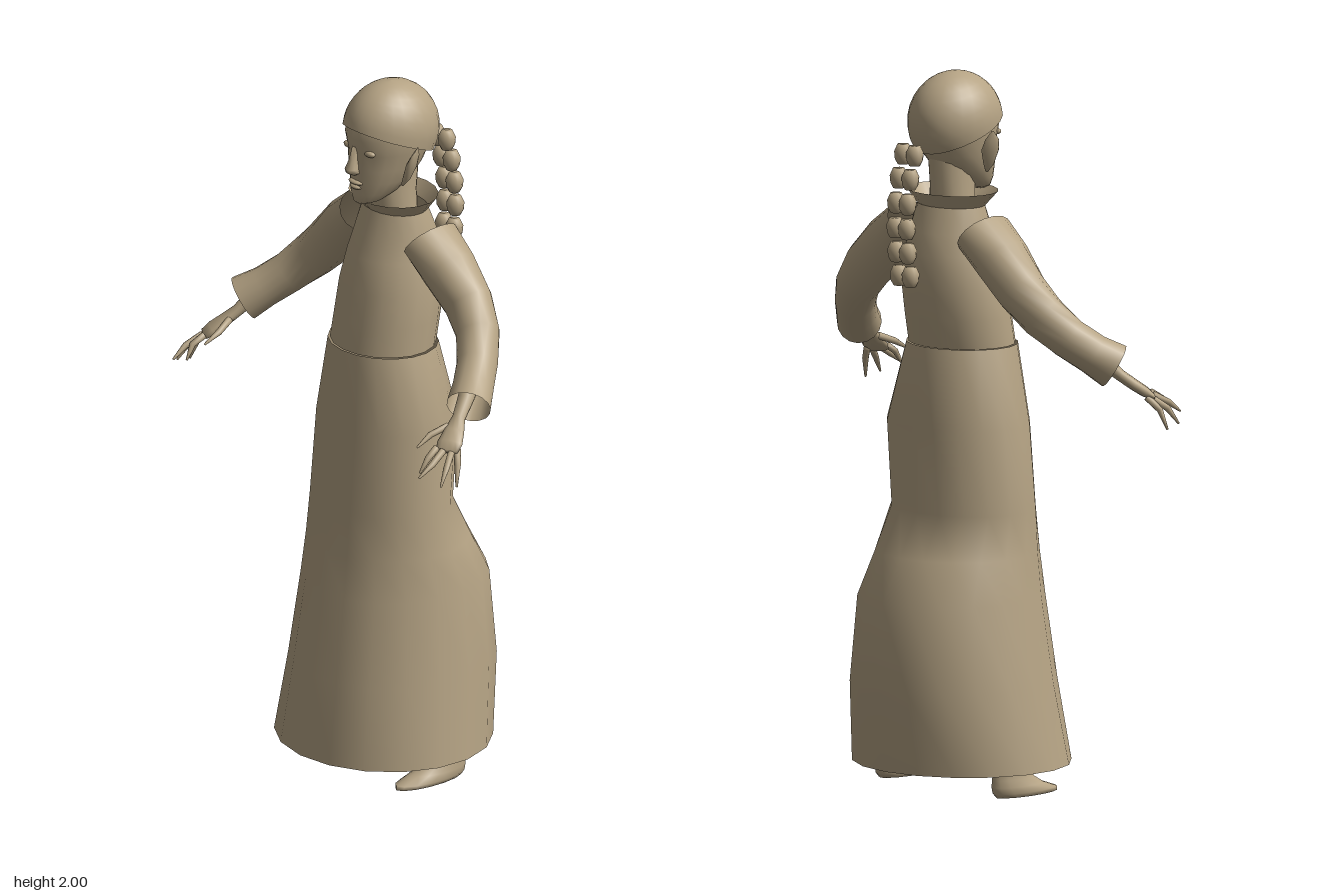
import * as THREE from 'three';

const clay = new THREE.MeshStandardMaterial({ color: 0xb5a384, side: THREE.DoubleSide });
clay.name = 'tan clay';

// Skin a list of equal-length vertex rings, optionally closing the ends
function loft(rings, capped = false) {
  const n = rings[0].length, pos = [], idx = [];
  rings.forEach(r => r.forEach(p => pos.push(p.x, p.y, p.z)));
  for (let k = 0; k < rings.length - 1; k++) {
    for (let i = 0; i < n; i++) {
      const a = k * n + i, b = k * n + (i + 1) % n;
      idx.push(a, b, a + n, b, b + n, a + n);
    }
  }
  if (capped) {
    const last = (rings.length - 1) * n;
    for (let i = 1; i < n - 1; i++) {
      idx.push(0, i + 1, i, last, last + i, last + i + 1);
    }
  }
  const g = new THREE.BufferGeometry();
  g.setAttribute('position', new THREE.Float32BufferAttribute(pos, 3));
  g.setIndex(idx);
  g.computeVertexNormals();
  return g;
}

// Upright body: rows of [y, half width, front z, back z], listed bottom to top
function upright(rows, n, dx = 0, capped = false) {
  return loft(rows.map(([y, w, zf, zb]) => Array.from({ length: n }, (_, i) => {
    const t = i / n * Math.PI * 2;
    return new THREE.Vector3(dx + w * Math.sin(t), y, (zf + zb) / 2 + (zf - zb) / 2 * Math.cos(t));
  })), capped);
}

// Limb: rows of [x, y, z, horizontal radius, other radius], mirrored by side
function limb(rows, side, n, capped = false) {
  const c = rows.map(r => new THREE.Vector3(r[0] * side, r[1], r[2]));
  return loft(rows.map((r, k) => {
    const t = c[Math.min(k + 1, c.length - 1)].clone().sub(c[Math.max(k - 1, 0)]).normalize();
    const u = t.clone().cross(new THREE.Vector3(0, 1, 0)).normalize();
    const v = t.clone().cross(u);
    return Array.from({ length: n }, (_, i) => {
      const a = i / n * Math.PI * 2;
      return c[k].clone().addScaledVector(u, r[3] * Math.cos(a)).addScaledVector(v, r[4] * Math.sin(a));
    });
  }), capped);
}

export function createModel() {
  const model = new THREE.Group();
  model.name = 'robedFigure';
  const add = (name, geometry, parent = model) => {
    const m = new THREE.Mesh(geometry, clay);
    m.name = name;
    parent.add(m);
    return m;
  };
  const ball = (name, x, y, z, rx, ry, rz) =>
    add(name, new THREE.SphereGeometry(1, 12, 8).scale(rx, ry, rz).translate(x, y, z));

  // Gown
  add('skirt', upright([
    [0.07, 0.315, 0.297, -0.29], [0.3, 0.283, 0.262, -0.318], [0.54, 0.255, 0.226, -0.3],
    [0.66, 0.235, 0.208, -0.235], [0.78, 0.221, 0.192, -0.17], [1.02, 0.217, 0.172, -0.19],
    [1.24, 0.165, 0.15, -0.14],
  ], 18));
  add('bodice', upright([
    [1.24, 0.157, 0.145, -0.135], [1.32, 0.156, 0.13, -0.15], [1.41, 0.152, 0.115, -0.166],
    [1.5, 0.132, 0.095, -0.165], [1.56, 0.122, 0.07, -0.148], [1.63, 0.105, 0.045, -0.118],
  ], 18));
  add('collar', upright([[1.63, 0.105, 0.045, -0.118], [1.67, 0.137, 0.085, -0.147]], 18));

  // Neck and face
  add('neck', upright([[1.58, 0.07, 0.03, -0.1], [1.68, 0.058, 0.035, -0.1], [1.8, 0.06, 0.03, -0.11]], 14));
  add('face', upright([
    [1.662, 0.015, 0.092, 0.055], [1.67, 0.036, 0.102, 0.01], [1.695, 0.058, 0.106, -0.04],
    [1.73, 0.077, 0.104, -0.08], [1.77, 0.09, 0.106, -0.115], [1.815, 0.101, 0.105, -0.135],
    [1.86, 0.11, 0.113, -0.15], [1.91, 0.105, 0.103, -0.145], [1.95, 0.08, 0.07, -0.12],
  ], 20, 0, true));
  add('nose', upright([
    [1.752, 0.008, 0.115, 0.095], [1.76, 0.021, 0.13, 0.09], [1.772, 0.018, 0.136, 0.09],
    [1.8, 0.011, 0.122, 0.09], [1.835, 0.009, 0.111, 0.09],
  ], 10, 0, true));
  ball('upperLip', 0, 1.729, 0.1, 0.028, 0.007, 0.015);
  ball('lowerLip', 0, 1.715, 0.099, 0.023, 0.007, 0.014);

  // Smooth hair cap: its lower edge rises at the forehead and drops at the nape
  const capRings = [];
  for (let k = 0; k <= 10; k++) {
    capRings.push(Array.from({ length: 24 }, (_, i) => {
      const a = i / 24 * Math.PI * 2;
      const p = (1.77 - 0.41 * Math.cos(a)) * (1 - k / 10);
      return new THREE.Vector3(0.121 * Math.sin(p) * Math.sin(a), 1.86 + 0.14 * Math.cos(p),
        -0.022 + 0.143 * Math.sin(p) * Math.cos(a));
    }));
  }
  add('hairCap', loft(capRings));

  // Barrel-shaped braid bead
  const beadProfile = [[0, -0.028], [0.015, -0.028], [0.023, -0.013], [0.025, 0.008], [0.016, 0.028], [0, 0.028]]
    .map(p => new THREE.Vector2(...p));
  const beadGeometry = new THREE.LatheGeometry(beadProfile, 10);
  const beads = [[1.785, -0.2], [1.72, -0.217], [1.652, -0.227], [1.583, -0.23], [1.515, -0.226], [1.448, -0.216]];

  // Finger rows: knuckle, middle joint and tip
  const fingers = {
    littleFinger: [[0.551, 1.13, 0.178], [0.58, 1.095, 0.2], [0.595, 1.04, 0.215]],
    ringFinger: [[0.55, 1.125, 0.198], [0.575, 1.095, 0.235], [0.588, 1.05, 0.265]],
    middleFinger: [[0.537, 1.13, 0.217], [0.55, 1.105, 0.265], [0.548, 1.075, 0.31]],
    indexFinger: [[0.518, 1.135, 0.225], [0.525, 1.115, 0.26], [0.52, 1.075, 0.285]],
    thumb: [[0.488, 1.175, 0.16], [0.472, 1.155, 0.21], [0.474, 1.13, 0.258]],
  };

  for (const side of [1, -1]) {
    const s = side > 0 ? 'left' : 'right';

    add(s + 'Eye', new THREE.SphereGeometry(1, 12, 8).scale(0.021, 0.01, 0.012).translate(side * 0.045, 1.823, 0.088));
    add(s + 'Ear', limb([
      [0.092, 1.725, 0.01, 0.004, 0.004], [0.105, 1.75, 0.005, 0.016, 0.01],
      [0.118, 1.79, -0.002, 0.026, 0.013], [0.129, 1.82, -0.006, 0.02, 0.008],
      [0.136, 1.845, -0.01, 0.003, 0.002],
    ], side, 10, true));

    const braid = new THREE.Group();
    braid.name = s + 'Braid';
    model.add(braid);
    for (const [y, z] of beads) add('braidBead', beadGeometry, braid).position.set(side * 0.023, y, z);

    // Sleeve, open at shoulder and cuff
    const arm = new THREE.Group();
    arm.name = s + 'Arm';
    model.add(arm);
    add('sleeve', limb([
      [0.14, 1.565, -0.05, 0.088, 0.069], [0.22, 1.5, -0.054, 0.08, 0.075],
      [0.3, 1.425, -0.058, 0.068, 0.072], [0.365, 1.36, -0.04, 0.061, 0.065],
      [0.42, 1.3, 0.005, 0.057, 0.058], [0.465, 1.255, 0.055, 0.058, 0.057],
      [0.502, 1.22, 0.1, 0.062, 0.065],
    ], side, 16), arm);

    // Forearm and palm
    add('hand', limb([
      [0.43, 1.29, 0.02, 0.03, 0.03], [0.475, 1.23, 0.09, 0.023, 0.022], [0.494, 1.192, 0.128, 0.019, 0.016],
      [0.513, 1.165, 0.16, 0.03, 0.016], [0.53, 1.143, 0.188, 0.037, 0.015], [0.541, 1.127, 0.207, 0.032, 0.01],
    ], side, 12, true), arm);
    for (const [name, [a, b, c]] of Object.entries(fingers)) {
      add(name, limb([[...a, 0.01, 0.01], [...b, 0.009, 0.009], [...c, 0.003, 0.003]], side, 8, true), arm);
    }

    // Foot with a short ankle under the hem
    add(s + 'Foot', upright([
      [0, 0.04, 0.14, -0.085], [0.012, 0.046, 0.138, -0.095], [0.03, 0.042, 0.085, -0.098],
      [0.05, 0.037, 0.05, -0.096], [0.075, 0.033, 0.025, -0.093], [0.14, 0.035, 0.005, -0.09],
    ], 14, side * 0.23, true));
  }
  return model;
}
